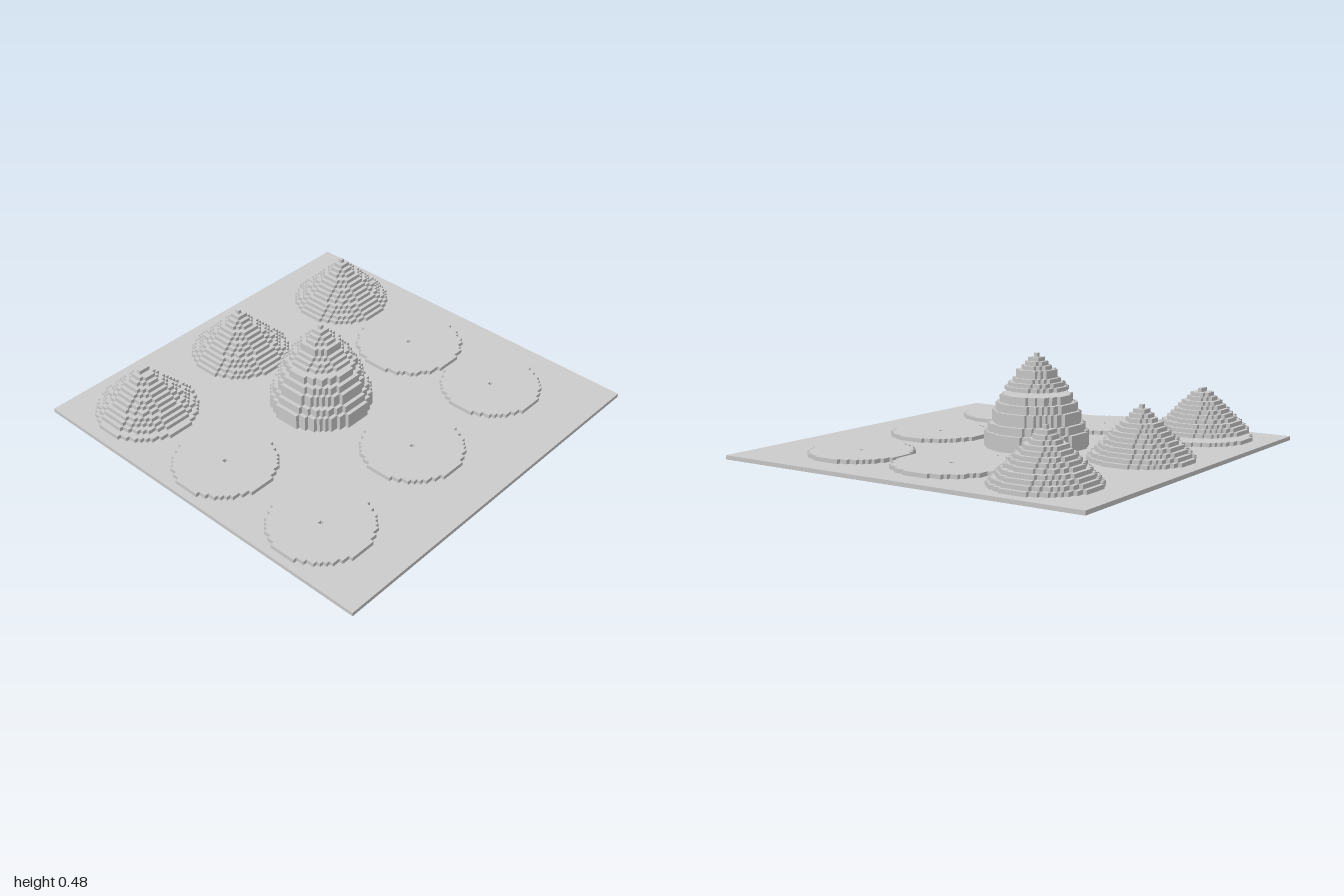
import * as THREE from 'three';

const U = 0.02; // size of one block

const material = new THREE.MeshStandardMaterial({ color: 0xcccccc, flatShading: true });

// Stepped outline of a round layer made of square blocks, r blocks around a centre block
function steppedCircle(r) {
  const half = (row) => Math.floor(Math.sqrt((r + 0.5) ** 2 - row * row));
  const points = [];
  for (let row = -r; row <= r; row++) {
    const w = (half(row) + 0.5) * U;
    points.push([w, (row - 0.5) * U], [w, (row + 0.5) * U]);
  }
  const mirrored = points.map(([x, y]) => [-x, y]).reverse();
  return new THREE.Shape([...points, ...mirrored].map(([x, y]) => new THREE.Vector2(x, y)));
}

function layer(r, level, pit = false) {
  const shape = steppedCircle(r);
  if (pit) {
    const h = U / 2;
    shape.holes.push(new THREE.Path([
      new THREE.Vector2(-h, -h), new THREE.Vector2(-h, h),
      new THREE.Vector2(h, h), new THREE.Vector2(h, -h),
    ]));
  }
  const geometry = new THREE.ExtrudeGeometry(shape, { depth: U, bevelEnabled: false });
  geometry.rotateX(-Math.PI / 2);
  const mesh = new THREE.Mesh(geometry, material);
  mesh.position.y = level * U;
  mesh.name = 'layer';
  return mesh;
}

// Stack of round layers, from the given level upwards
function stack(name, radii, level) {
  const group = new THREE.Group();
  group.name = name;
  radii.forEach((r, i) => group.add(layer(r, level + i)));
  return group;
}

// Layer radii falling by one block per level
const falling = (from, to) => Array.from({ length: from - to + 1 }, (_, i) => from - i);

function place(parent, name, x, z, ...parts) {
  const group = new THREE.Group();
  group.name = name;
  group.position.set(x, 0, z);
  group.add(...parts);
  parent.add(group);
}

export function createModel() {
  const model = new THREE.Group();
  model.name = 'steppedMounds';

  // Ground plate
  const plate = new THREE.Mesh(new THREE.BoxGeometry(2, U, 2), material);
  plate.position.y = U / 2;
  plate.name = 'basePlate';
  model.add(plate);

  // Flat discs with a small pit in the middle
  const discs = [
    [-0.71, -0.07, 12], [0.61, -0.05, 13],
    [-0.71, 0.55, 12], [-0.03, 0.51, 12], [0.61, 0.49, 12],
  ];
  for (const [x, z, r] of discs) place(model, 'disc', x, z, layer(r, 1, true));

  // Plain cones at the back
  for (const [x, z] of [[-0.03, -0.67], [0.69, -0.61]]) {
    place(model, 'cone', x, z, stack('coneLayers', falling(12, 0), 1));
  }

  // Back left cone, raised on a pin above its disc, with a narrow ridge on top
  const ridge = new THREE.Mesh(new THREE.BoxGeometry(3 * U, U, U), material);
  ridge.position.y = 13.5 * U;
  ridge.name = 'ridge';
  place(model, 'raisedCone', -0.69, -0.65,
    stack('discAndPin', [12, 0], 1), stack('coneLayers', falling(11, 2), 3), ridge);

  // Tall central mound with a separate cap held up by a pin
  place(model, 'centralMound', -0.05, -0.07,
    stack('moundBody', [12, 12, 12, 12, 11, 11, 10, 10, 10, 9, 9, 8, 8], 1),
    stack('pin', [0], 14),
    stack('cap', [7, 6, 5, 4, 4, 3, 2, 1, 0], 15));

  return model;
}
